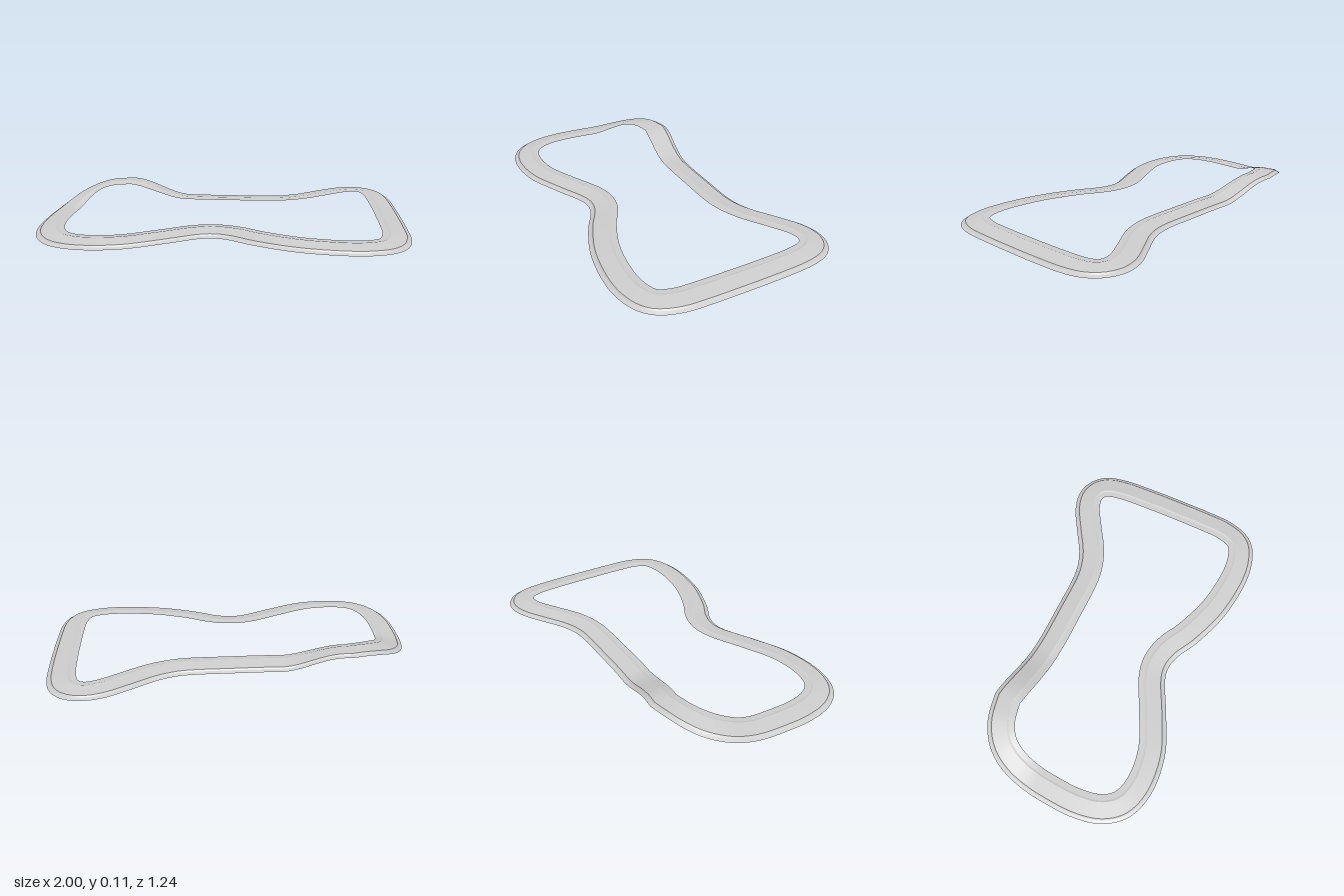
import * as THREE from 'three';
import { mergeGeometries } from 'three/addons/utils/BufferGeometryUtils.js';

// Centre line seen from above: [x, z], starting and ending at the seam on the hill
const PATH = [
  [-0.62, -0.305], [-0.4, -0.282], [-0.2, -0.276], [0.02, -0.285], [0.2, -0.294],
  [0.31, -0.314], [0.42, -0.362], [0.55, -0.452], [0.66, -0.523], [0.755, -0.546],
  [0.835, -0.506], [0.877, -0.4], [0.9, -0.2], [0.914, 0], [0.922, 0.15],
  [0.922, 0.29], [0.883, 0.4], [0.78, 0.455], [0.63, 0.471], [0.42, 0.45],
  [0.22, 0.388], [0.09, 0.327], [-0.02, 0.306], [-0.13, 0.331], [-0.3, 0.424],
  [-0.48, 0.512], [-0.66, 0.541], [-0.8, 0.51], [-0.882, 0.42], [-0.918, 0.29],
  [-0.924, 0.15], [-0.918, 0.02], [-0.893, -0.1], [-0.838, -0.2], [-0.745, -0.268],
  [-0.62, -0.305],
];

// Cross-section of each part: [lateral offset (outer is +), height]
const PROFILES = {
  outerKerb: [[0.075, -0.013], [0.057, -0.007], [0.05, 0]],
  road: [[0.05, 0], [-0.033, 0]],
  innerKerb: [[-0.033, 0], [-0.042, -0.004], [-0.075, -0.01]],
};
const STEPS = 240;

// Centre, outward direction and tilt at each step round the loop
function makeFrames() {
  const { lerp, smoothstep } = THREE.MathUtils;
  const curve = new THREE.CatmullRomCurve3(
    PATH.map(([x, z]) => new THREE.Vector3(x, 0, z)), false, 'catmullrom', 0.5);
  const length = curve.getLength();
  const seam = curve.getTangent(0).add(curve.getTangent(1)).normalize();
  const frames = [];
  for (let i = 0; i <= STEPS; i++) {
    const t = i / STEPS;
    const tangent = i % STEPS === 0 ? seam : curve.getTangentAt(t);
    // The hill climbs into the seam at the end of the lap and falls away after it
    const climb = smoothstep(t * length, length - 0.52, length - 0.07);
    const hill = Math.max(climb, 1 - smoothstep(t * length, 0, 0.36));
    const centre = curve.getPointAt(t);
    centre.y = 0.0265 + 0.003 * centre.x + 0.083 * hill;
    frames.push({
      centre,
      out: new THREE.Vector3(tangent.z, 0, -tangent.x).normalize(),
      tilt: lerp(0.14, 0.03, hill) + 0.55 * climb * (1 - climb),
    });
  }
  return frames;
}

// Sweep one straight piece of a cross-section round the loop
function sweep(frames, a, b) {
  const position = [], index = [];
  frames.forEach(({ centre, out, tilt }, i) => {
    for (const [offset, height] of [a, b]) {
      const p = centre.clone().addScaledVector(out, offset);
      position.push(p.x, p.y + height - offset * tilt, p.z);
    }
    if (i < STEPS) {
      const n = i * 2;
      index.push(n, n + 1, n + 3, n, n + 3, n + 2);
    }
  });
  const geometry = new THREE.BufferGeometry();
  geometry.setAttribute('position', new THREE.Float32BufferAttribute(position, 3));
  geometry.setIndex(index);
  geometry.computeVertexNormals();
  return geometry;
}

export function createModel() {
  const group = new THREE.Group();
  group.name = 'raceTrack';
  const material = new THREE.MeshStandardMaterial({ color: 0xcccccc, side: THREE.DoubleSide });
  const frames = makeFrames();
  for (const [name, profile] of Object.entries(PROFILES)) {
    const pieces = profile.slice(1).map((b, i) => sweep(frames, profile[i], b));
    const mesh = new THREE.Mesh(mergeGeometries(pieces), material);
    mesh.name = name;
    group.add(mesh);
  }
  return group;
}
